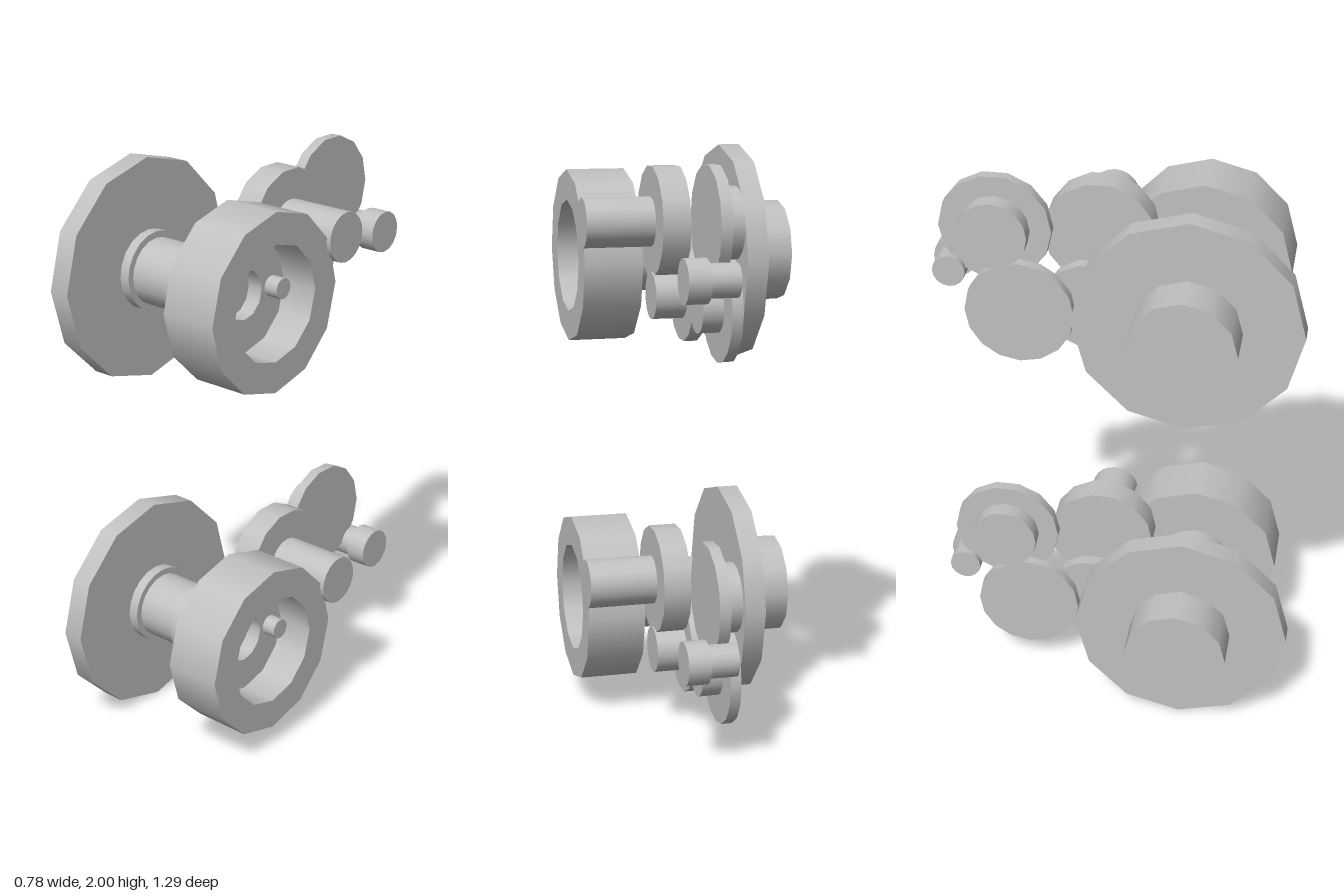
import * as THREE from 'three';
import { mergeGeometries } from 'three/addons/utils/BufferGeometryUtils.js';

const metal = new THREE.MeshStandardMaterial({ color: 0xc0c0c0 });
metal.name = 'plainGrey';

// Turned part along x: profile of [radius, x], crisp between segments, smooth around.
function turned(name, profile, sides, y, z) {
  const bands = [];
  for (let i = 0; i < profile.length - 1; i++) {
    const pair = [profile[i], profile[i + 1]].map(([r, x]) => new THREE.Vector2(r, x));
    bands.push(new THREE.LatheGeometry(pair, sides));
  }
  const mesh = new THREE.Mesh(mergeGeometries(bands).rotateZ(-Math.PI / 2), metal);
  mesh.name = name;
  mesh.position.set(0, y, z);
  return mesh;
}

// Solid disc or shaft from x0 to x1.
const disc = (name, r, x0, x1, sides, y, z) =>
  turned(name, [[0, x0], [r, x0], [r, x1], [0, x1]], sides, y, z);

// One complete wheel train.
function wheelTrain() {
  const train = new THREE.Group();

  // Main drum assembly
  const y = 0.378, z = 0.265;
  train.add(
    disc('endCap', 0.178, -0.393, -0.247, 12, y, z),
    disc('flange', 0.378, -0.247, -0.173, 12, y, z),
    disc('collar', 0.136, -0.173, -0.137, 20, y, z),
    disc('mainShaft', 0.114, -0.137, 0.02, 20, y, z),
    disc('hub', 0.13, 0.02, 0.173, 20, y, z),
    turned('drum', [
      [0, 0.173], [0.3, 0.173], [0.3, 0.375], [0.195, 0.375],
      [0.195, 0.245], [0.083, 0.245], [0.083, 0.19], [0, 0.19],
    ], 12, y, z),
  );
  // Pins on the floor of the drum bore
  for (const side of [-1, 1]) {
    train.add(disc('pin', 0.035, 0.24, 0.295, 16, y, z + side * 0.132));
  }

  // Intermediate wheels: name, y, z, sections of [radius, x0, x1, sides]
  const wheels = [
    ['upperWheel', 0.522, -0.068, [[0.188, 0.063, 0.157, 14], [0.084, 0.157, 0.39, 20]]],
    ['lowerWheel', 0.277, -0.098, [[0.158, 0.013, 0.058, 14], [0.08, 0.058, 0.163, 20]]],
    ['rearLowerWheel', 0.265, -0.325, [[0.186, -0.041, -0.004, 16], [0.087, -0.004, 0.065, 20]]],
    ['rearUpperWheel', 0.544, -0.411, [[0.19, 0.02, 0.058, 14], [0.118, -0.04, 0.02, 16]]],
    ['endPinion', 0.381, -0.57, [[0.056, -0.002, 0.098, 16], [0.073, 0.098, 0.173, 16]]],
  ];
  for (const [name, wy, wz, sections] of wheels) {
    const wheel = new THREE.Group();
    wheel.name = name;
    sections.forEach(([r, x0, x1, sides], i) =>
      wheel.add(disc(name + (i ? 'Boss' : 'Disc'), r, x0, x1, sides, wy, wz)));
    train.add(wheel);
  }
  return train;
}

export function createModel() {
  const model = new THREE.Group();
  model.name = 'wheelTrains';
  // Two identical trains, one above the other
  ['lowerTrain', 'upperTrain'].forEach((name, i) => {
    const train = wheelTrain();
    train.name = name;
    train.position.y = i * 1.244;
    model.add(train);
  });
  return model;
}
